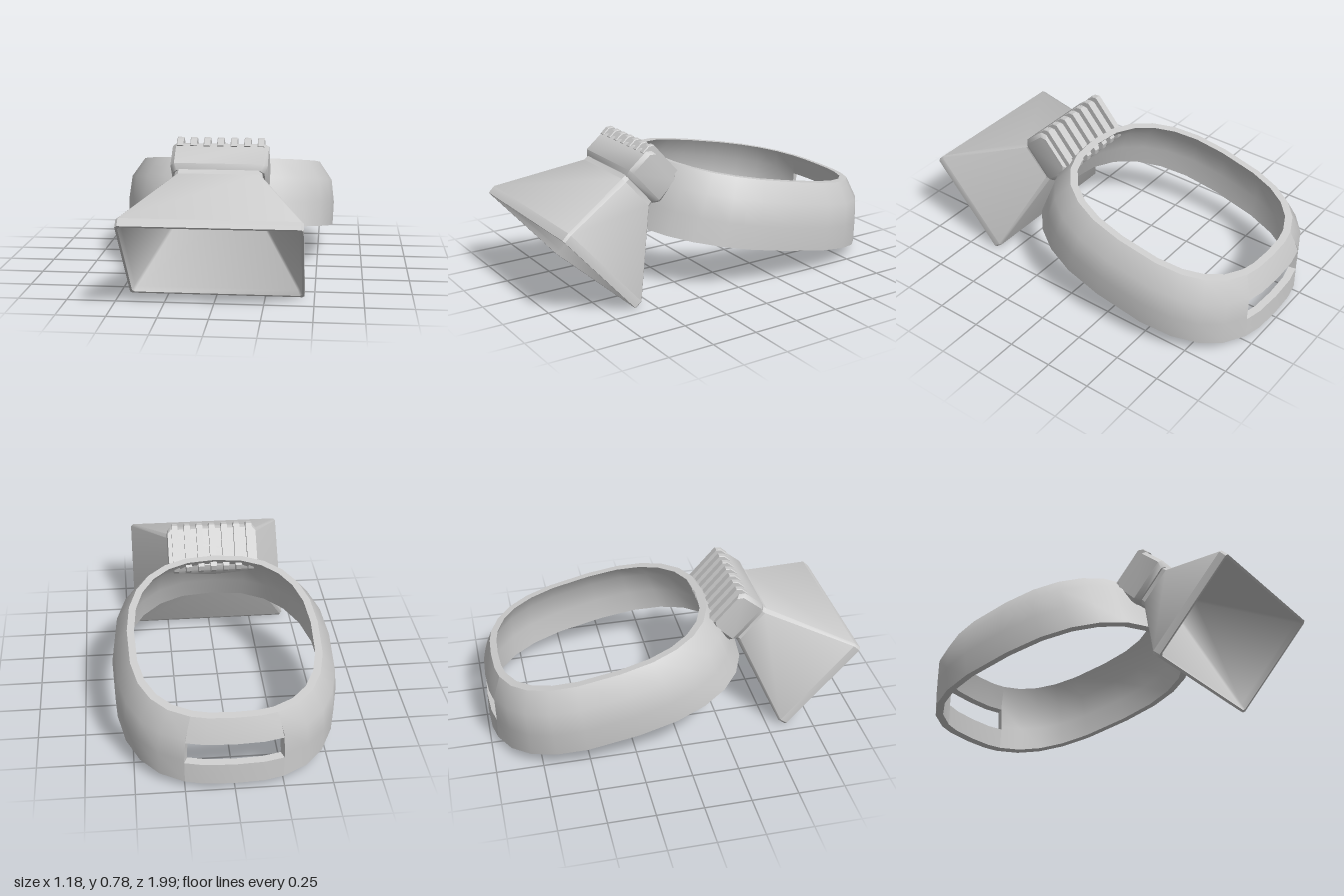
import * as THREE from 'three';
import { toCreasedNormals } from 'three/addons/utils/BufferGeometryUtils.js';

const material = new THREE.MeshStandardMaterial({ color: 0xcccccc });

// Skin a row of closed loops (counter-clockwise seen from the far end), capping both ends
function loft(loops, crease) {
  const n = loops[0].length, idx = [], pos = loops.flat(2);
  loops.slice(1).forEach((_, s) => {
    for (let i = 0; i < n; i++) {
      const j = (i + 1) % n, a = s * n + i, b = s * n + j;
      idx.push(a, b, b + n, a, b + n, a + n);
    }
  });
  const last = (loops.length - 1) * n;
  for (let i = 0; i < n / 2 - 1; i++) {
    const p = i, q = i + 1, r = n - 2 - i, t = n - 1 - i;
    idx.push(p, r, q, p, t, r);
    idx.push(last + p, last + q, last + r, last + p, last + r, last + t);
  }
  const g = new THREE.BufferGeometry();
  g.setAttribute('position', new THREE.Float32BufferAttribute(pos, 3));
  g.setIndex(idx);
  return toCreasedNormals(g, crease);
}

function addMesh(parent, name, geometry) {
  const m = new THREE.Mesh(geometry, material);
  m.name = name;
  parent.add(m);
  return m;
}

// Rectangle with cut corners at depth z
function rectLoop(z, w, h, c) {
  return [[w, -h + c], [w, h - c], [w - c, h], [-w + c, h],
    [-w, h - c], [-w, -h + c], [-w + c, -h], [w - c, -h]].map(([x, y]) => [x, y, z]);
}

// Strap shape: height, half width, half length of the outer wall
const WALL = [[0, 0.585, 0.72], [0.13, 0.59, 0.69], [0.257, 0.575, 0.665], [0.36, 0.505, 0.6]];
function wallAt(h) {
  let i = 0;
  while (i < WALL.length - 2 && h > WALL[i + 1][0]) i++;
  const [p, q] = [WALL[i], WALL[i + 1]], k = (h - p[0]) / (q[0] - p[0]);
  return [p[1] + (q[1] - p[1]) * k, p[2] + (q[2] - p[2]) * k];
}

// Rounded-oval point, squarer at the back
function ovalPoint(t, h, inset) {
  const [a, b] = wallAt(h), s = Math.sin(t), c = Math.cos(t);
  const e = 2 / (c < 0 ? 2.7 : 2.4);
  return [Math.sign(s) * Math.abs(s) ** e * (a - inset), h,
    Math.sign(c) * Math.abs(c) ** e * (b - inset)];
}

function strapPiece(heights, t0, t1, steps) {
  const loops = [];
  for (let i = 0; i <= steps; i++) {
    const t = t0 + (t1 - t0) * i / steps;
    loops.push([
      ...heights.map(h => ovalPoint(t, h, 0.038)),
      ...[...heights].reverse().map(h => ovalPoint(t, h, 0)),
    ]);
  }
  return loft(loops, 0.9);
}

export function createModel() {
  const model = new THREE.Group();
  model.name = 'headlamp';

  // Head strap, tilted up at the front and split in two at the back
  const strap = new THREE.Group();
  strap.name = 'strap';
  strap.position.set(0, 0.175, -0.285);
  strap.rotation.x = -0.207;
  model.add(strap);
  const d = 0.322, PI = Math.PI;
  addMesh(strap, 'mainBand', strapPiece([0, 0.13, 0.257, 0.36], -PI + d, PI - d, 22));
  addMesh(strap, 'lowerBackBand', strapPiece([0, 0.06, 0.115], PI - d, PI + d, 4));
  addMesh(strap, 'upperBackBand', strapPiece([0.24, 0.3, 0.36], PI - d, PI + d, 4));

  // Lamp head, aimed forward and down; its origin is the centre of the mouth
  const lamp = new THREE.Group();
  lamp.name = 'lamp';
  lamp.position.set(0, 0.225, 0.8);
  lamp.rotation.x = 0.726;
  model.add(lamp);

  // Hollow flared hood: outside, rim, then inside back to the neck
  addMesh(lamp, 'hood', loft([
    rectLoop(-0.52, 0.225, 0.115, 0.02),
    rectLoop(-0.46, 0.225, 0.12, 0.02),
    rectLoop(-0.046, 0.45, 0.303, 0.012),
    rectLoop(0, 0.45, 0.301, 0.012),
    rectLoop(0, 0.438, 0.289, 0.012),
    rectLoop(-0.03, 0.425, 0.278, 0.012),
    rectLoop(-0.47, 0.15, 0.075, 0.012),
  ], 0.75));

  // Hinge block with bevelled ends
  addMesh(lamp, 'hingeBlock', loft([
    rectLoop(-0.67, 0.25, 0.105, 0.02),
    rectLoop(-0.645, 0.25, 0.13, 0.02),
    rectLoop(-0.515, 0.25, 0.135, 0.02),
    rectLoop(-0.485, 0.235, 0.115, 0.02),
  ], 0.75));

  // Grip ribs across the back of the hinge
  for (let i = -3; i <= 3; i++) {
    const rib = addMesh(lamp, 'hingeRib', loft([
      rectLoop(-0.7, 0.0175, 0.12, 0.004),
      rectLoop(-0.675, 0.0175, 0.138, 0.004),
      rectLoop(-0.63, 0.0175, 0.138, 0.004),
    ], 0.5));
    rib.position.x = i * 0.07;
  }
  return model;
}
